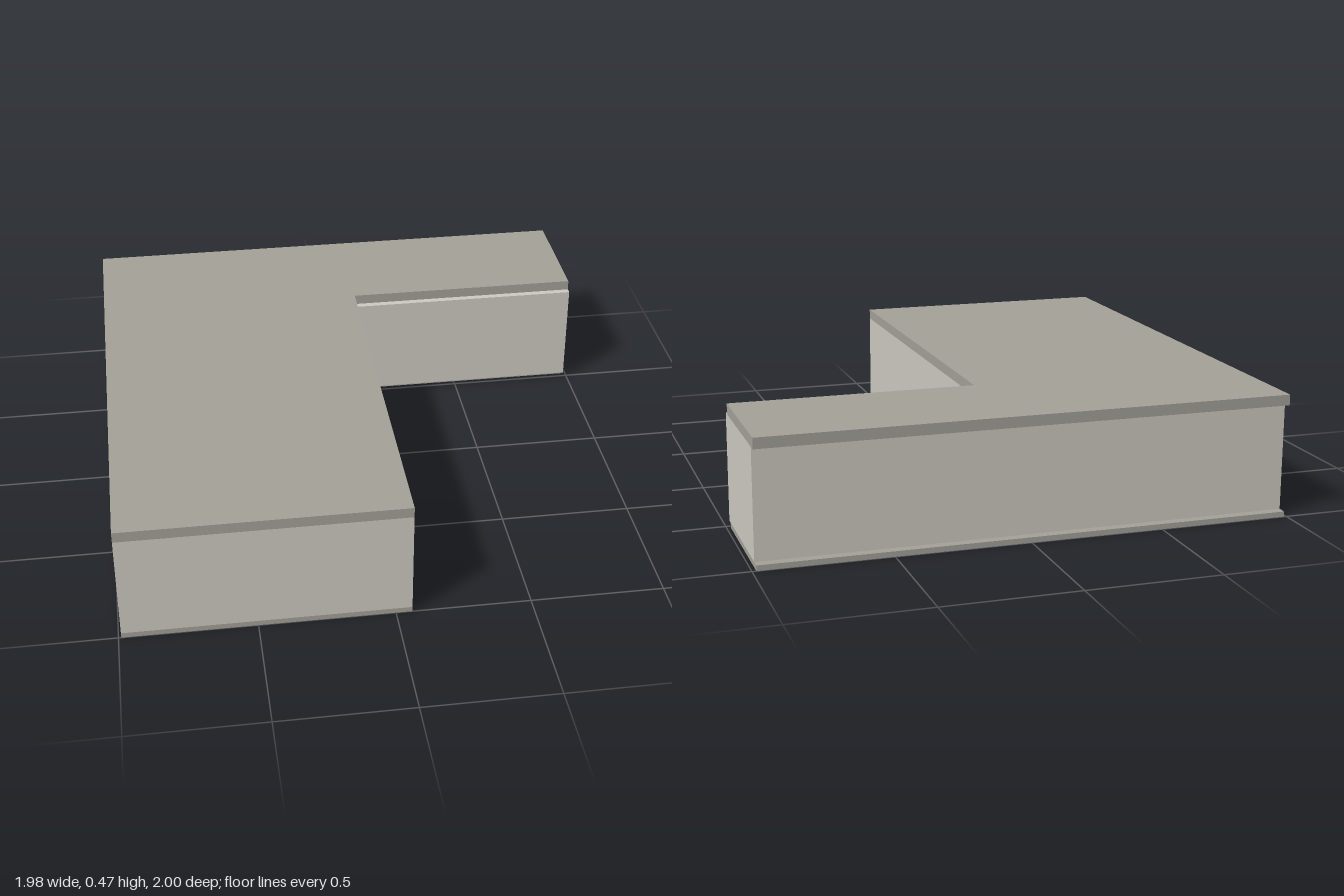
import * as THREE from 'three';

const paint = (color) => new THREE.MeshStandardMaterial({ color });

// Footprint and heights of the L-shaped building
const X0 = -0.99, XI = 0.06, X1 = 0.985;
const Z0 = -1, ZI = -0.52, Z1 = 1;
const FLOOR = 0.02, CEILING = 0.425, TOP = 0.465;
const T = 0.04; // wall thickness
const BACK = -0.965, WING = -0.495; // outer faces of the back and wing walls

export function createModel() {
  const model = new THREE.Group();
  model.name = 'building';
  const wallMat = paint(0xccc9c0);
  const slabMat = paint(0xa3a097);
  const frameMat = paint(0x74736e);
  const glassMat = paint(0xa9b9c6);

  // Box given by its lower and upper corners
  function box(parent, name, mat, [ax, ay, az], [bx, by, bz]) {
    const mesh = new THREE.Mesh(new THREE.BoxGeometry(bx - ax, by - ay, bz - az), mat);
    mesh.position.set((ax + bx) / 2, (ay + by) / 2, (az + bz) / 2);
    mesh.name = name;
    parent.add(mesh);
  }

  // L-shaped slab between two heights
  function slab(name, y0, y1) {
    const outline = [[X0, Z0], [X0, Z1], [XI, Z1], [XI, ZI], [X1, ZI], [X1, Z0]];
    const shape = new THREE.Shape(outline.map(([x, z]) => new THREE.Vector2(x, -z)));
    const geo = new THREE.ExtrudeGeometry(shape, { depth: y1 - y0, bevelEnabled: false });
    geo.rotateX(-Math.PI / 2);
    geo.translate(0, y0, 0);
    const mesh = new THREE.Mesh(geo, slabMat);
    mesh.name = name;
    model.add(mesh);
  }
  slab('floorSlab', 0, FLOOR);
  slab('roofSlab', CEILING, TOP);

  // Plain outer walls
  const wall = (name, x0, x1, z0, z1) =>
    box(model, name, wallMat, [x0, FLOOR, z0], [x1, CEILING, z1]);
  wall('frontWall', X0 + T, XI, Z1 - T, Z1);
  wall('innerSideWall', XI - T, XI, WING - T, Z1 - T);
  wall('wingFrontWall', XI, X1, WING - T, WING);
  wall('wingEndWall', X1 - T, X1, BACK + T, WING - T);
  wall('backWall', X0 + T, X1, BACK, BACK + T);

  // Window wall on the right side, with four openings
  const sill = 0.195, head = 0.395, half = 0.222;
  const centres = [0, 1, 2, 3].map((i) => -0.735 + 0.495 * i);
  const rect = (Type, a0, a1, y0, y1) => new Type([
    new THREE.Vector2(a0, y0), new THREE.Vector2(a1, y0),
    new THREE.Vector2(a1, y1), new THREE.Vector2(a0, y1),
  ]);
  const face = rect(THREE.Shape, -Z1, -BACK, FLOOR, CEILING);
  centres.forEach((c) => face.holes.push(rect(THREE.Path, -c - half, -c + half, sill, head)));
  const wallGeo = new THREE.ExtrudeGeometry(face, { depth: T, bevelEnabled: false });
  wallGeo.rotateY(Math.PI / 2);
  wallGeo.translate(X0, 0, 0);
  const windowWall = new THREE.Mesh(wallGeo, wallMat);
  windowWall.name = 'windowWall';
  model.add(windowWall);

  // Windows: outer frame, three mullions, one transom and a recessed pane
  const b = 0.01, xa = X0 + 0.003, xb = X0 + 0.03;
  centres.forEach((c) => {
    const win = new THREE.Group();
    win.name = 'window';
    model.add(win);
    const z0 = c - half, z1 = c + half;
    const rail = (name, y) => box(win, name, frameMat, [xa, y, z0], [xb, y + b, z1]);
    rail('sillRail', sill);
    rail('headRail', head - b);
    rail('transom', sill + 0.125);
    for (let k = 0; k <= 4; k++) {
      const z = z0 + (k / 4) * (z1 - z0 - b);
      box(win, k % 4 ? 'mullion' : 'jamb', frameMat, [xa + 0.001, sill, z], [xb - 0.001, head, z + b]);
    }
    box(win, 'glass', glassMat, [X0 + 0.015, sill, z0], [X0 + 0.02, head, z1]);
  });

  return model;
}
